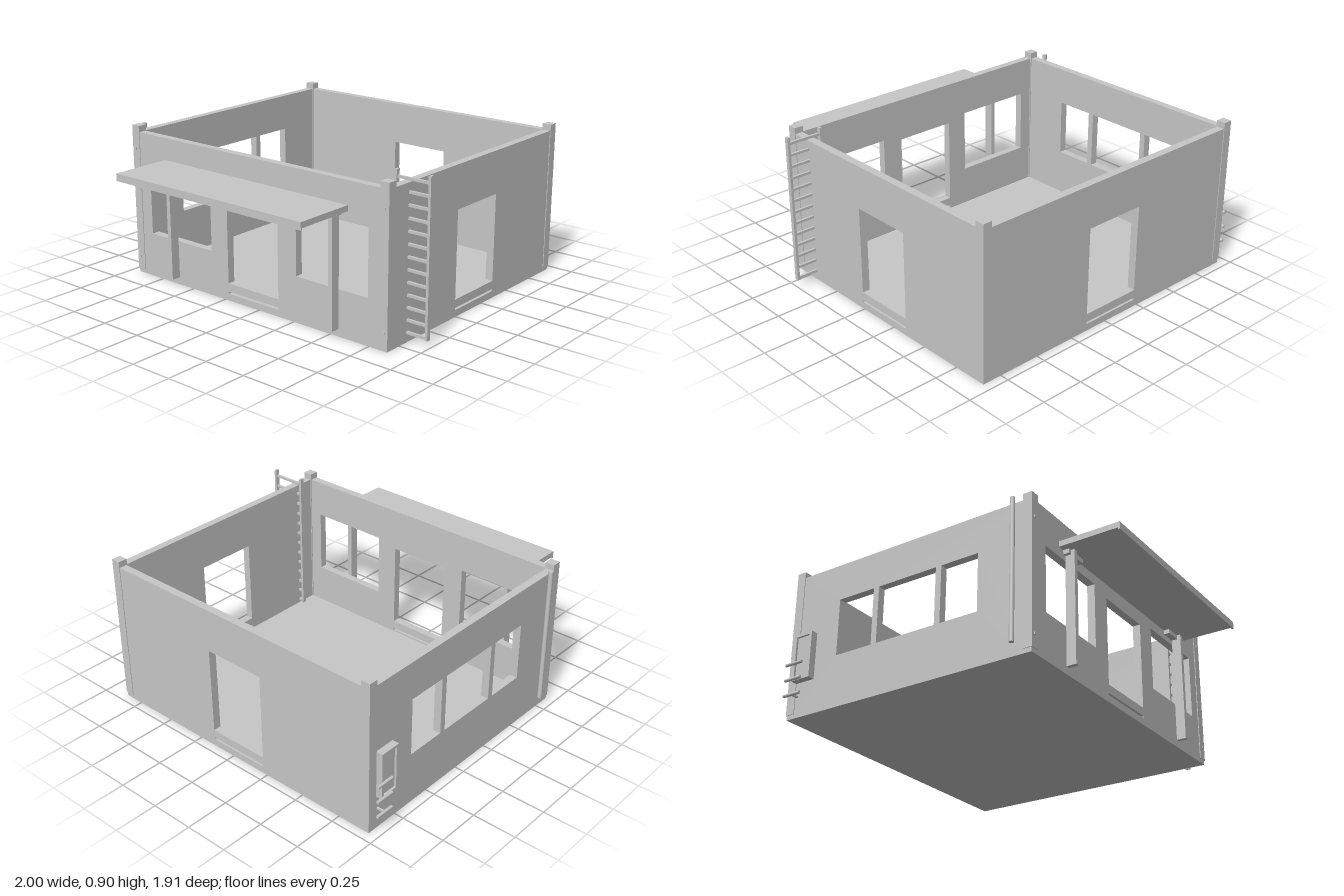
import * as THREE from 'three';

export function createModel() {
  const root = new THREE.Group();
  root.name = 'building';
  const grey = new THREE.MeshStandardMaterial({ color: 0xc7c7c7 });
  grey.name = 'light grey';

  const X0 = -0.945, X1 = 0.866, Z0 = -0.949, Z1 = 0.602, H = 0.845, T = 0.045;

  const add = (name, geometry, parent = root) => {
    const mesh = new THREE.Mesh(geometry, grey);
    mesh.name = name;
    parent.add(mesh);
    return mesh;
  };
  // Box given by its limits on each axis
  const box = (name, x0, x1, y0, y1, z0, z1, parent) => {
    const g = new THREE.BoxGeometry(x1 - x0, y1 - y0, z1 - z0);
    g.translate((x0 + x1) / 2, (y0 + y1) / 2, (z0 + z1) / 2);
    return add(name, g, parent);
  };
  const group = (name) => {
    const g = new THREE.Group();
    g.name = name;
    root.add(g);
    return g;
  };
  // Wall panel with rectangular openings [u0, u1, y0, y1]
  const wallGeometry = (u0, u1, openings) => {
    const rect = (p, a, b, c, d) =>
      p.moveTo(a, c).lineTo(b, c).lineTo(b, d).lineTo(a, d).closePath();
    const shape = rect(new THREE.Shape(), u0, u1, 0, H);
    for (const o of openings) shape.holes.push(rect(new THREE.Path(), ...o));
    return new THREE.ExtrudeGeometry(shape, { depth: T, bevelEnabled: false });
  };
  const doorway = (a, b) => [[a, b, 0.1, 0.6], [a, b, 0.04, 0.052]];

  // Walls
  const door = doorway(-0.223, 0.143);
  add('frontWall', wallGeometry(X0, X1, [
    ...door, [-0.82, -0.347, 0.26, 0.63], [0.27, 0.743, 0.26, 0.63],
  ])).position.z = Z1 - T;
  add('backWall', wallGeometry(X0, X1, door)).position.z = Z0;
  const leftWall = wallGeometry(Z0 + T, Z1 - T, doorway(-0.354, 0.008));
  add('leftWall', leftWall.rotateY(-Math.PI / 2)).position.x = X1;
  const rightWall = wallGeometry(Z0 + T, Z1 - T, [
    [-0.63, -0.395, 0.3, 0.63], [-0.36, 0.015, 0.3, 0.63], [0.05, 0.28, 0.3, 0.63],
  ]);
  add('rightWall', rightWall.rotateY(-Math.PI / 2)).position.x = X0 + T;

  // Floor
  box('floor', X0 + T, X1 - T, 0, 0.03, Z0 + T, Z1 - T);

  // Corner posts stand slightly proud of the walls and rise above them
  const e = 0.004, w = 0.054;
  for (const x of [X0 - e, X1 + e - w])
    for (const z of [Z0 - e, Z1 + e - w])
      box('cornerPost', x, x + w, 0.025, 0.88, z, z + w);

  // Small bolts on the front corners
  for (const x of [X0 + 0.02, X1 - 0.02])
    for (const y of [0.1, 0.745])
      box('bolt', x - 0.006, x + 0.006, y - 0.007, y + 0.007, Z1, Z1 + 0.009);

  // Canopy with front lip, posts and brackets
  const canopy = group('canopy');
  box('canopySlab', -0.695, 0.613, 0.685, 0.717, Z1, 0.955, canopy);
  box('canopyLip', -0.695, 0.613, 0.675, 0.685, 0.945, 0.955, canopy);
  for (const [x, b0, b1] of [[-0.622, -0.655, -0.518], [0.543, 0.432, 0.573]]) {
    box('canopyPost', x - 0.013, x + 0.013, 0.043, 0.685, Z1, 0.657, canopy);
    box('canopyBracket', b0, b1, 0.66, 0.685, Z1, 0.637, canopy);
  }

  // Ladder whose rungs pass through the side wall
  const ladder = group('ladder');
  for (const x of [0.78, 0.985])
    box('ladderRail', x, x + 0.015, 0.045, 0.9, 0.425, 0.449, ladder);
  for (let i = 0; i < 13; i++) {
    const y = 0.055 + i * 0.0673;
    box('ladderRung', 0.785, 0.995, y - 0.007, y + 0.007, 0.43, 0.444, ladder);
  }

  // Drain pipe
  add('drainPipe', new THREE.CylinderGeometry(0.013, 0.013, 0.803, 16))
    .position.set(-0.965, 0.4685, 0.5);

  // Wall cabinet: back plate with a raised frame
  const cabinet = group('wallCabinet');
  const cx = -0.986, z0 = -0.9, z1 = -0.778, y0 = 0.2, y1 = 0.47, f = 0.016;
  box('cabinetBody', cx + 0.012, X0, y0, y1, z0, z1, cabinet);
  for (const y of [y0, y1 - f]) box('cabinetFrame', cx, cx + 0.012, y, y + f, z0, z1, cabinet);
  for (const z of [z0, z1 - f]) box('cabinetFrame', cx, cx + 0.012, y0 + f, y1 - f, z, z + f, cabinet);

  // Short horizontal bars beside the cabinet
  for (const y of [0.12, 0.21, 0.3]) {
    const bar = new THREE.CylinderGeometry(0.009, 0.009, 0.11, 12).rotateX(Math.PI / 2);
    add('wallBar', bar).position.set(-0.991, y, -0.885);
    box('barMount', -0.991, X0, y - 0.005, y + 0.005, -0.89, -0.88);
  }

  return root;
}
